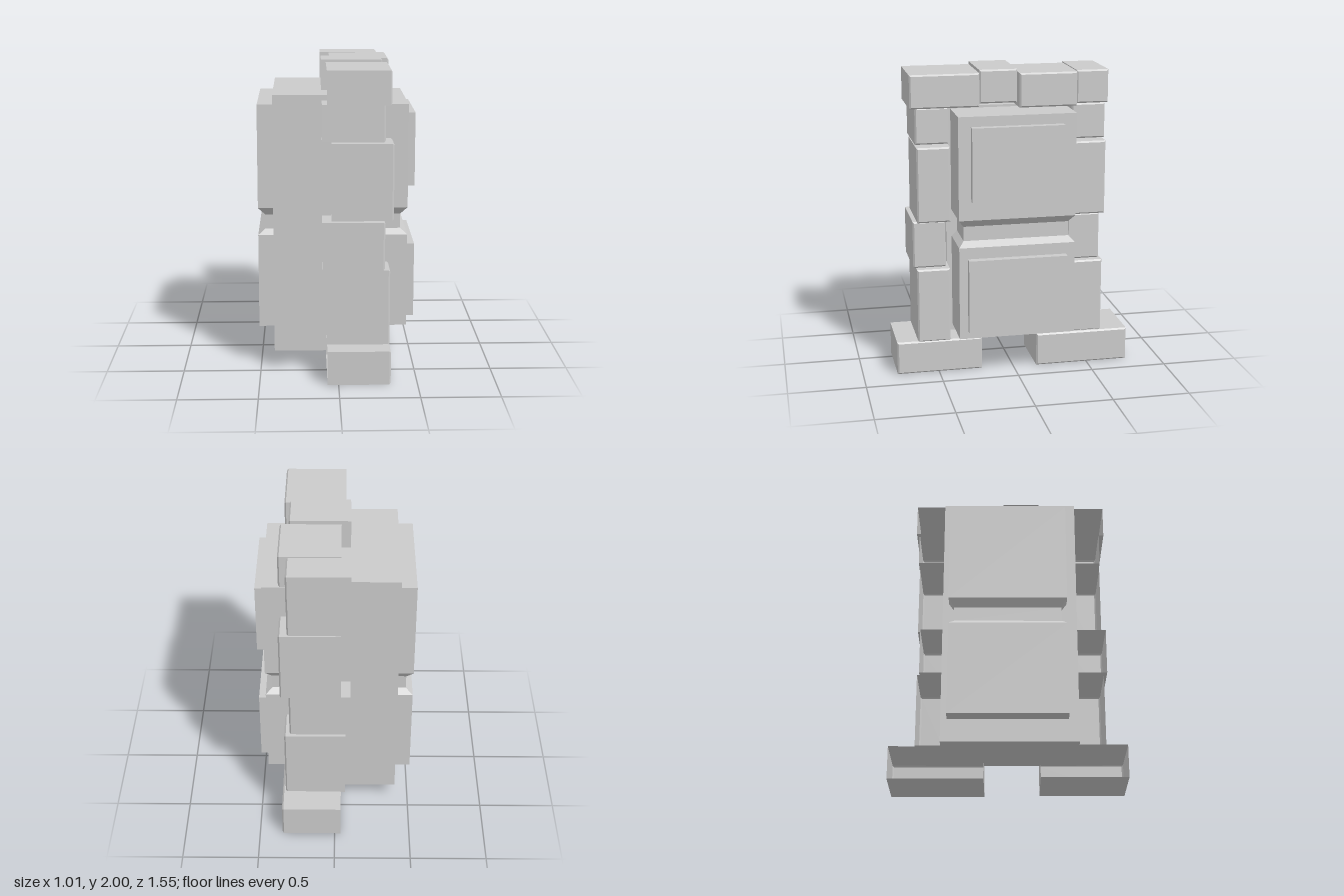
import * as THREE from 'three';

const solid = new THREE.MeshStandardMaterial({ color: 0xcccccc, flatShading: true });
const open = new THREE.MeshStandardMaterial({ color: 0xcccccc, flatShading: true, side: THREE.DoubleSide });

// Rectangular rings, counterclockwise seen from +x and from +y
const ringX = (x, y0, y1, z0, z1) => [[x, y0, z1], [x, y0, z0], [x, y1, z0], [x, y1, z1]];
const ringY = (y, x0, x1, z0, z1) => [[x0, y, z1], [x1, y, z1], [x1, y, z0], [x0, y, z0]];

// Joins rings into a faceted solid, with optional caps
function loft(rings, capStart, capEnd) {
  const pos = [];
  const quad = (a, b, c, d) => pos.push(...a, ...b, ...c, ...a, ...c, ...d);
  for (let r = 0; r < rings.length - 1; r++) {
    const a = rings[r], b = rings[r + 1];
    for (let i = 0; i < 4; i++) {
      const j = (i + 1) % 4;
      quad(a[i], a[j], b[j], b[i]);
    }
  }
  if (capStart) quad(...[...rings[0]].reverse());
  if (capEnd) quad(...rings[rings.length - 1]);
  const g = new THREE.BufferGeometry();
  g.setAttribute('position', new THREE.Float32BufferAttribute(pos, 3));
  g.computeVertexNormals();
  return g;
}

export function createModel() {
  const model = new THREE.Group();
  model.name = 'stoneDoorway';
  const add = (name, geometry, material, parent = model) => {
    const mesh = new THREE.Mesh(geometry, material);
    mesh.name = name;
    parent.add(mesh);
  };
  const box = (name, x0, x1, y0, y1, z0, z1) => {
    const g = new THREE.BoxGeometry(x1 - x0, y1 - y0, z1 - z0);
    g.translate((x0 + x1) / 2, (y0 + y1) / 2, (z0 + z1) / 2);
    add(name, g, solid);
  };

  // Wall core and the lining of the opening
  box('wallCore', -0.41, 0.04, 0.12, 1.805, -0.42, 0.445);
  box('doorLining', 0.0, 0.15, 0.2, 1.75, -0.385, 0.415);

  // Door slab with a groove pinched around its middle
  const groove = [[0.27, 0], [0.885, 0], [0.92, 0.045], [1.015, 0.045], [1.065, 0], [1.735, 0]];
  const rings = groove.map(([y, d]) => ringY(y, -0.51 + d, 0.455 - d, -0.38 + d * 0.8, 0.38 - d * 0.8));
  add('door', loft(rings, true, true), solid);
  box('upperDoorPanel', 0.44, 0.505, 1.19, 1.67, -0.295, 0.3);
  box('lowerDoorPanel', 0.44, 0.505, 0.32, 0.81, -0.32, 0.325);

  // Stones: chamfered at the face, open at the back
  const stone = (name, x0, x1, y0, y1, z0, z1, parent) => {
    const c = 0.01;
    add(name, loft([
      ringX(x0, y0, y1, z0, z1),
      ringX(x1 - c, y0, y1, z0, z1),
      ringX(x1, y0 + c, y1 - c, z0 + c, z1 - c),
    ], false, true), open, parent);
  };
  const A = [-0.07, 0.33], B = [-0.1, 0.295], C = [-0.04, 0.35];
  const courses = {
    frontPillar: [
      [A, 0.005, 0.225, 0.21, 0.775],
      [A, 0.22, 0.715, 0.42, 0.635],
      [B, 0.72, 1.03, 0.44, 0.655],
      [C, 1.035, 1.525, 0.415, 0.63],
      [B, 1.535, 1.77, 0.415, 0.63],
    ],
    backPillar: [
      [C, 0.005, 0.225, -0.775, -0.155],
      [A, 0.22, 0.715, -0.6, -0.38],
      [B, 0.72, 1.03, -0.585, -0.37],
      [C, 1.04, 1.525, -0.605, -0.39],
      [B, 1.535, 1.765, -0.61, -0.39],
    ],
    lintel: [
      [A, 1.77, 1.985, 0.22, 0.665],
      [B, 1.785, 2.0, -0.03, 0.215],
      [C, 1.76, 1.98, -0.41, -0.035],
      [B, 1.765, 1.98, -0.63, -0.42],
    ],
  };
  for (const [name, stones] of Object.entries(courses)) {
    const group = new THREE.Group();
    group.name = name;
    model.add(group);
    stones.forEach(([x, ...rest], i) => stone(`${name}Stone${i + 1}`, ...x, ...rest, group));
  }
  return model;
}
